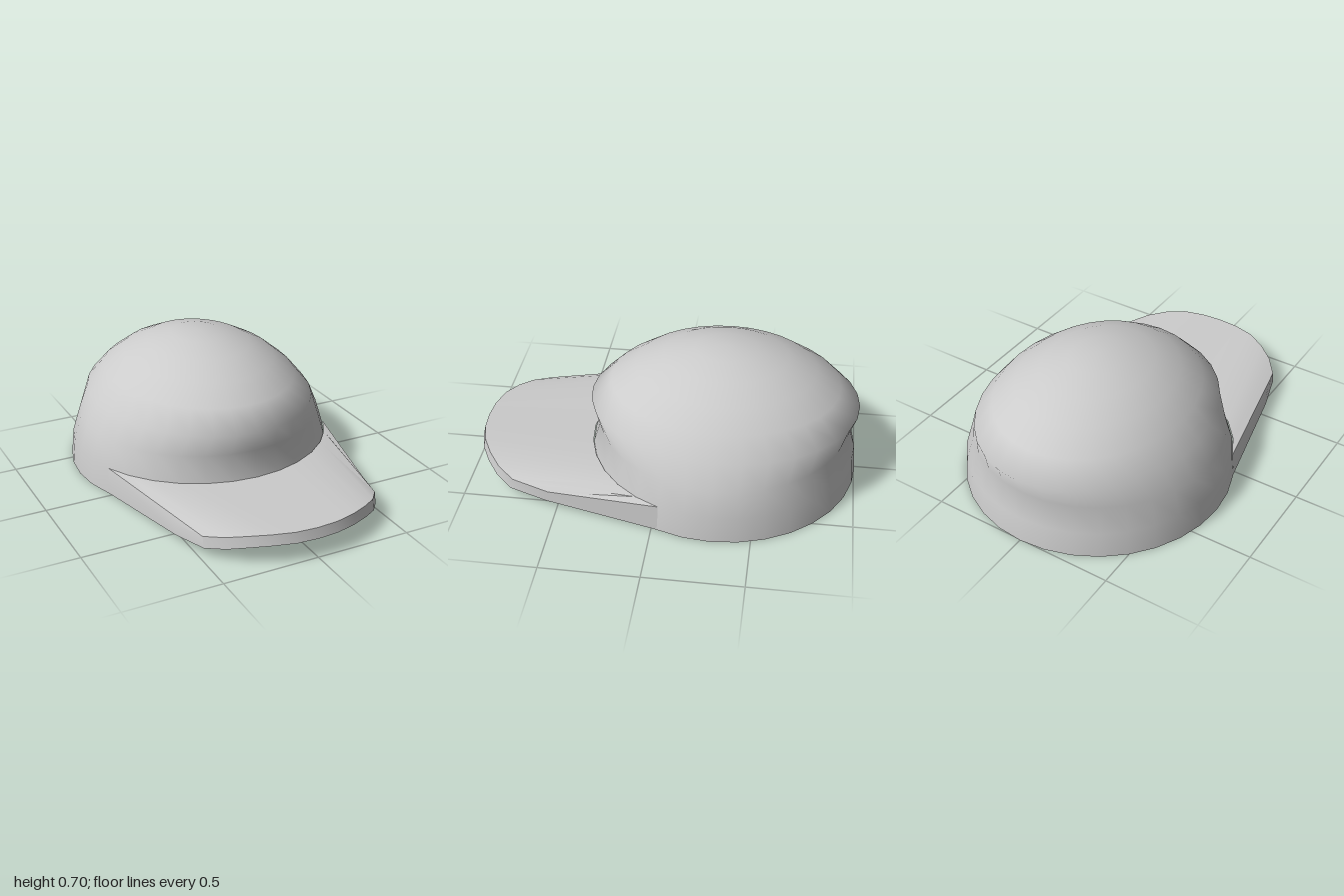
import * as THREE from 'three';
import { mergeGeometries, mergeVertices, toCreasedNormals } from 'three/addons/utils/BufferGeometryUtils.js';

const CENTER_Z = -0.3; // centre of the crown
const SEGMENTS = 32;
const STEP = Math.PI / 16;
const RADIUS = 0.705;
const INNER = 0.668;

// Quarter-circle profile from the rim up to the apex
const arc = (r) => Array.from({ length: 9 }, (_, k) =>
  new THREE.Vector2(k === 8 ? 0 : r * Math.cos(k * STEP), r * Math.sin(k * STEP)));

// Turned surface whose upper part swells forwards and backwards above a waist
function turned(profile, r) {
  let geo = new THREE.LatheGeometry(profile, SEGMENTS);
  const pos = geo.attributes.position;
  for (let i = 0; i < pos.count; i++) {
    const stretch = pos.getY(i) > r * 0.5 ? 1.195 : 1;
    pos.setZ(i, CENTER_Z + pos.getZ(i) * stretch);
  }
  geo.deleteAttribute('uv');
  geo.deleteAttribute('normal');
  geo = mergeVertices(geo, 1e-5);
  geo.computeVertexNormals();
  return geo;
}

function crownGeometry() {
  return mergeGeometries([
    turned(arc(RADIUS), RADIUS),
    turned(arc(INNER).reverse(), INNER),
    turned([new THREE.Vector2(INNER, 0), new THREE.Vector2(RADIUS, 0)], RADIUS),
  ]);
}

// Surface between two rows of points
function strip(out, a, b) {
  for (let i = 0; i < a.length - 1; i++) {
    out.push(...a[i], ...b[i], ...b[i + 1], ...a[i], ...b[i + 1], ...a[i + 1]);
  }
}

function brimGeometry() {
  // Outer edge from the side to the middle: x, z, top y, bottom y
  const half = [
    [0.535, 0.55, 0.087, 0.03], [0.48, 0.745, 0.105, 0.047], [0.408, 0.835, 0.127, 0.07],
    [0.322, 0.9, 0.145, 0.09], [0.222, 0.953, 0.155, 0.102], [0.112, 0.982, 0.155, 0.102],
    [0, 0.99, 0.155, 0.102],
  ];
  const edge = [...half, ...half.slice(0, 6).reverse().map(([x, ...rest]) => [-x, ...rest])];
  const outerTop = edge.map(([x, z, top]) => [x, top, z - 0.003]);
  const outerBottom = edge.map(([x, z, , bottom]) => [x, bottom, z + 0.01]);

  // Inner edge follows the crown
  const ring = (r, y) => edge.map((_, i) =>
    [r * Math.cos((i + 2) * STEP), y, CENTER_Z + r * Math.sin((i + 2) * STEP)]);
  const innerTop = ring(0.695, 0.14);
  const innerBottom = ring(0.704, 0);

  const tris = [];
  strip(tris, outerTop, innerTop);
  strip(tris, innerBottom, outerBottom);
  // Outer wall, including the two straight sides
  strip(tris,
    [innerBottom[0], ...outerBottom, innerBottom[12]],
    [innerTop[0], ...outerTop, innerTop[12]]);

  const geo = new THREE.BufferGeometry();
  geo.setAttribute('position', new THREE.Float32BufferAttribute(tris, 3));
  return toCreasedNormals(geo, 0.5);
}

export function createModel() {
  const group = new THREE.Group();
  group.name = 'cap';
  const material = new THREE.MeshStandardMaterial({ color: 0xcccccc });
  const add = (name, geometry) => {
    const mesh = new THREE.Mesh(geometry, material);
    mesh.name = name;
    group.add(mesh);
  };
  add('crown', crownGeometry());
  add('brim', brimGeometry());
  return group;
}
